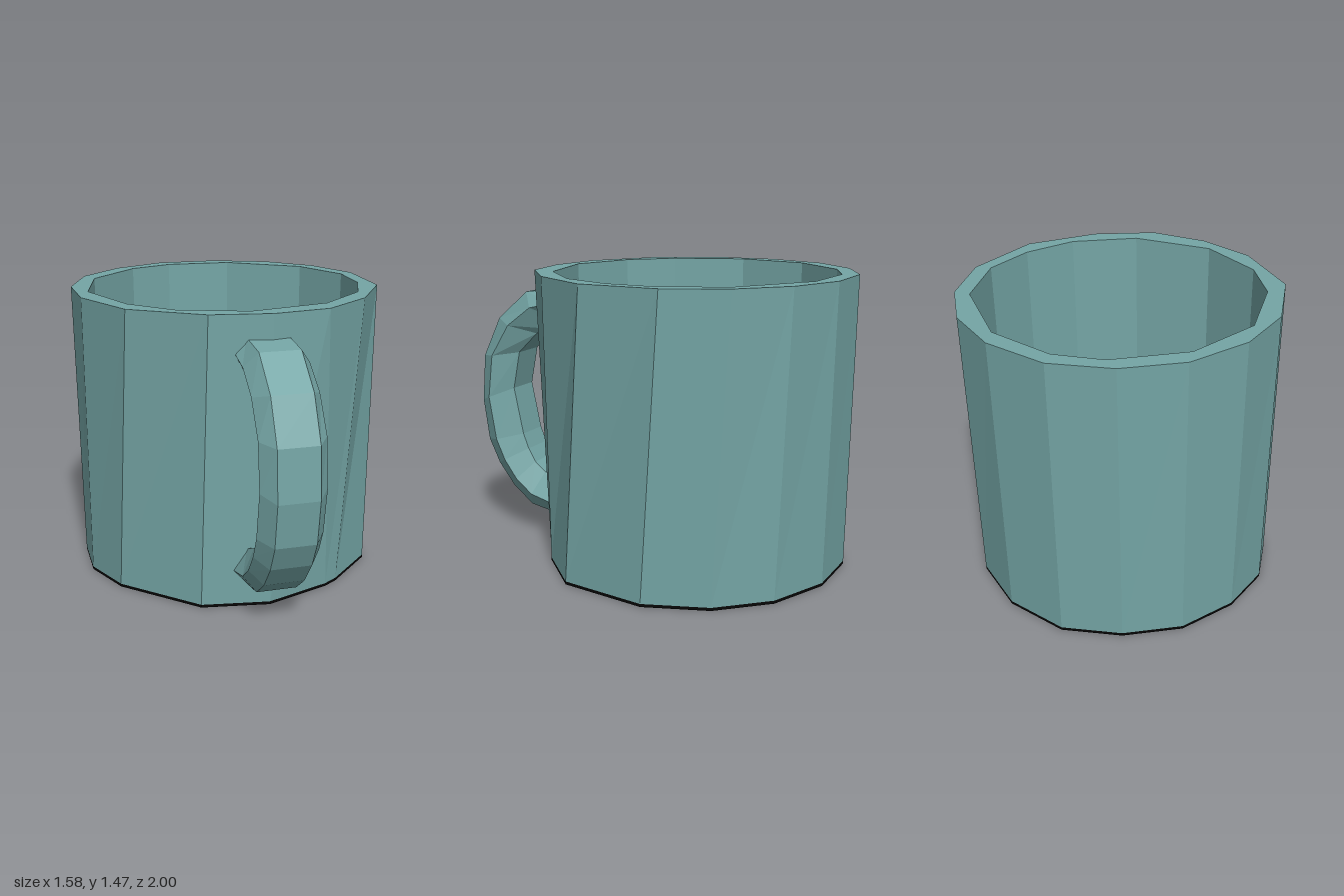
import * as THREE from 'three';

// Skin between rings of [x, y, z] points, with optional fan caps on both ends
function loft(rings, capped = false) {
  const pos = [];
  const tri = (a, b, c) => pos.push(...a, ...b, ...c);
  for (let k = 0; k + 1 < rings.length; k++) {
    const a = rings[k], b = rings[k + 1];
    for (let i = 0; i < a.length; i++) {
      const j = (i + 1) % a.length;
      tri(a[j], a[i], b[i]);
      tri(a[j], b[i], b[j]);
    }
  }
  if (capped) {
    const s = rings[0], e = rings[rings.length - 1];
    for (let i = 1; i + 1 < s.length; i++) {
      tri(s[0], s[i], s[i + 1]);
      tri(e[0], e[i + 1], e[i]);
    }
  }
  const g = new THREE.BufferGeometry();
  g.setAttribute('position', new THREE.Float32BufferAttribute(pos, 3));
  g.computeVertexNormals();
  return g;
}

// Flat polygon at height y facing up (or down), with an optional hole
function plate(points, y, up = true, hole = null) {
  const s = up ? -1 : 1;
  const vec = (l) => l.map(([x, z]) => new THREE.Vector2(x, s * z));
  const shape = new THREE.Shape(vec(points));
  if (hole) shape.holes.push(new THREE.Path(vec(hole)));
  return new THREE.ShapeGeometry(shape).rotateX(s * Math.PI / 2).translate(0, y, 0);
}

const CZ = -0.21; // body axis
const scaled = (l, f) => l.map(([x, z]) => [x * f, CZ + (z - CZ) * f]);
const at = (l, y) => l.map(([x, z]) => [x, y, z]);

export function createModel() {
  const group = new THREE.Group();
  const glaze = new THREE.MeshStandardMaterial({ color: 0x74a5a5, flatShading: true });
  glaze.name = 'teal glaze';
  const black = new THREE.MeshStandardMaterial({ color: 0x050505, flatShading: true });
  black.name = 'black base';
  const add = (name, geometry, material = glaze) => {
    const mesh = new THREE.Mesh(geometry, material);
    mesh.name = name;
    group.add(mesh);
  };

  // Irregular hand-cut outlines in plan [x, z]
  const rimOuter = [[-0.03, -1], [0.27, -0.95], [0.52, -0.8], [0.71, -0.55], [0.79, -0.16],
    [0.67, 0.19], [0.47, 0.44], [0.2, 0.55], [-0.1, 0.57], [-0.48, 0.43], [-0.71, 0.14],
    [-0.79, -0.16], [-0.75, -0.48], [-0.59, -0.74], [-0.35, -0.93]];
  const foot = [[-0.02, -0.975], [0.3, -0.91], [0.55, -0.73], [0.72, -0.45], [0.745, 0],
    [0.56, 0.28], [0.5, 0.34], [0.2, 0.53], [-0.14, 0.555], [-0.55, 0.31], [-0.71, 0.1],
    [-0.77, -0.17], [-0.73, -0.47], [-0.57, -0.72], [-0.34, -0.91]];
  const rimInner = [[0.04, -0.92], [0.45, -0.76], [0.65, -0.5], [0.7, -0.24], [0.66, 0.03],
    [0.47, 0.31], [0.1, 0.49], [-0.25, 0.45], [-0.48, 0.3], [-0.69, -0.02], [-0.69, -0.4],
    [-0.5, -0.72], [-0.3, -0.86]];
  const floor = scaled(rimInner, 0.98);
  const H = 1.47, FLOOR = 0.08, BASE = 0.015;

  // Cup body
  add('outerWall', loft([at(foot, BASE), at(rimOuter, H)]));
  add('rim', plate(rimOuter, H, true, rimInner));
  add('innerWall', loft([at(rimInner, H), at(floor, FLOOR)]));
  add('innerFloor', plate(floor, FLOOR));

  // Thin dark base
  add('baseEdge', loft([at(foot, 0), at(foot, BASE)]), black);
  add('baseUnderside', plate(foot, 0, false), black);

  // Handle stations from bottom to top: outer z, y and inner z, y
  const stations = [
    [0.5, 0.12, 0.5, 0.3], [0.69, 0.16, 0.61, 0.35], [0.8, 0.25, 0.67, 0.4],
    [0.89, 0.37, 0.71, 0.47], [0.95, 0.5, 0.74, 0.55], [0.98, 0.72, 0.79, 0.8],
    [0.96, 0.97, 0.75, 1], [0.86, 1.18, 0.64, 1.11], [0.69, 1.33, 0.56, 1.14],
    [0.5, 1.355, 0.49, 1.19]];
  // Six-sided section: sideways offset, fraction from outer to inner face
  const section = [[-0.09, 1], [0.09, 1], [0.16, 0.4], [0.1, 0], [-0.1, 0], [-0.16, 0.4]];
  const rings = stations.map(([oz, oy, iz, iy]) => section.map(([w, t]) => {
    const reach = THREE.MathUtils.lerp(oz, iz, t) - 0.53;
    return [0.18 + reach * 0.237 + w * 0.97, THREE.MathUtils.lerp(oy, iy, t), 0.53 + reach - w * 0.23];
  }));
  add('handle', loft(rings, true));

  return group;
}
